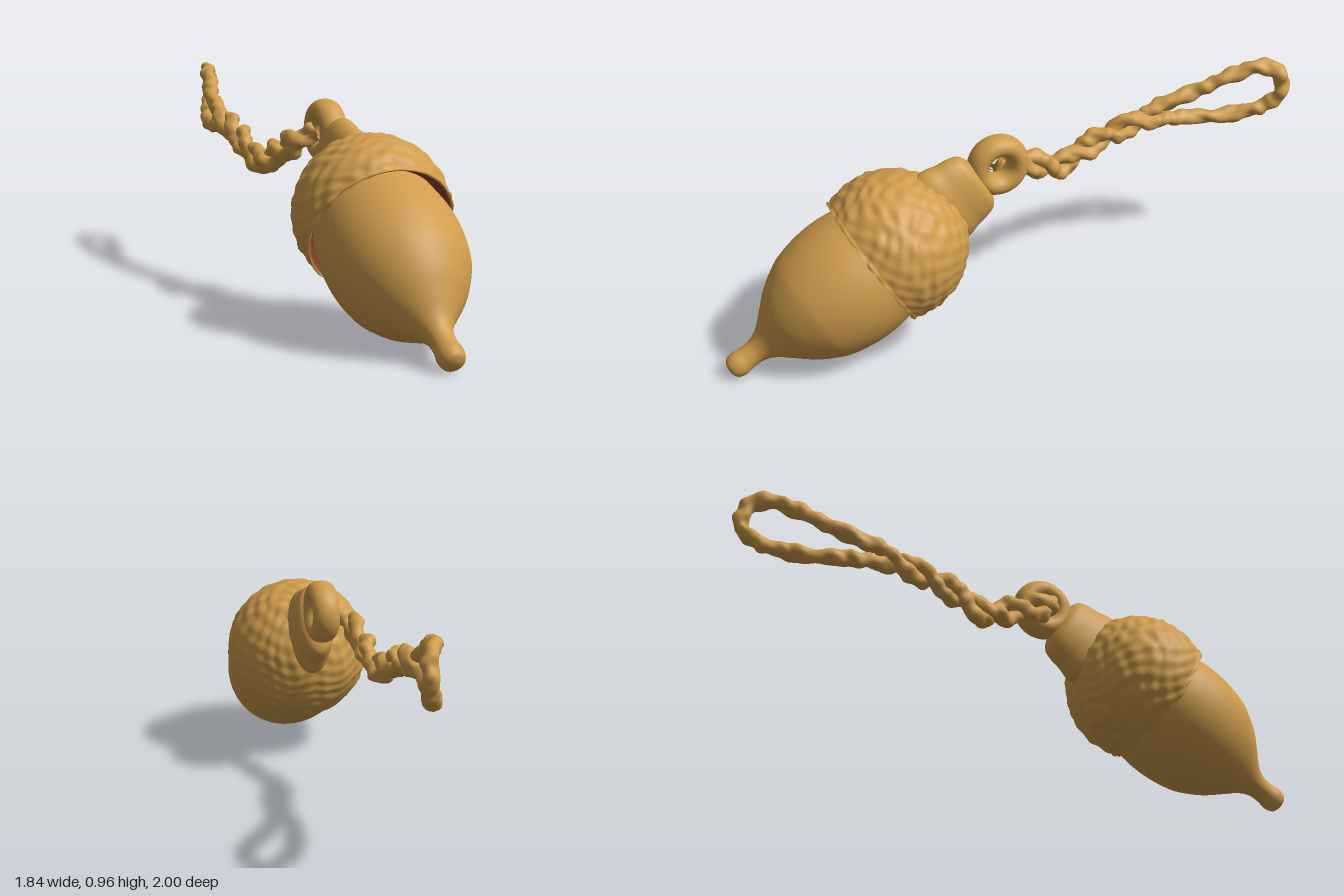
import * as THREE from 'three';
import { mergeVertices } from 'three/addons/utils/BufferGeometryUtils.js';

const V = (x, y, z) => new THREE.Vector3(x, y, z);

// Smooth curve through a few (radius, height) points, turned into a lathe
function turned(points, segments = 64, steps = 60) {
  const curve = new THREE.SplineCurve(points.map(([r, t]) => new THREE.Vector2(r, t)));
  const profile = curve.getPoints(steps).map((p) => new THREE.Vector2(Math.max(0, p.x), p.y));
  return new THREE.LatheGeometry(profile, segments);
}

// Irregular lumps as a function of position
function lump(p, k) {
  const wx = p.x + 0.02 * Math.sin(23 * p.y + 1), wy = p.y + 0.02 * Math.sin(27 * p.z + 2), wz = p.z + 0.02 * Math.sin(21 * p.x);
  return Math.sin(k * wx) * Math.sin(k * 1.1 * wy + 1) + Math.sin(k * 0.9 * wy + k * 0.5 * wx) * Math.sin(k * wz + 2);
}

// Push vertices along their normals by the lump rule, then smooth the result
function roughen(geometry, k, amount) {
  const pos = geometry.attributes.position, nor = geometry.attributes.normal;
  const p = V(0, 0, 0), n = V(0, 0, 0);
  for (let i = 0; i < pos.count; i++) {
    p.fromBufferAttribute(pos, i);
    n.fromBufferAttribute(nor, i);
    p.addScaledVector(n, amount * lump(p, k));
    pos.setXYZ(i, p.x, p.y, p.z);
  }
  geometry.deleteAttribute('uv');
  geometry.deleteAttribute('normal');
  const merged = mergeVertices(geometry, 1e-5);
  merged.computeVertexNormals();
  return merged;
}

export function createModel() {
  const model = new THREE.Group();
  model.name = 'acornCharm';
  const tan = new THREE.MeshStandardMaterial({ color: 0xcf9c4c });
  tan.name = 'warm tan';
  const brown = new THREE.MeshStandardMaterial({ color: 0x8a4526, side: THREE.DoubleSide });
  brown.name = 'red brown';

  const add = (parent, name, geometry, material) => {
    const mesh = new THREE.Mesh(geometry, material);
    mesh.name = name;
    parent.add(mesh);
    return mesh;
  };

  // Tilted acorn frame: local y runs from the ring to the tip
  const axis = V(0.572, -0.504, 0.646).normalize();
  const side = axis.clone().cross(V(0, 1, 0)).normalize().negate();
  const across = axis.clone().cross(side).normalize();
  const acorn = new THREE.Group();
  acorn.name = 'acorn';
  acorn.quaternion.setFromRotationMatrix(new THREE.Matrix4().makeBasis(across, axis, across.clone().cross(axis)));
  acorn.position.set(0.4, 0.46, 0.42);
  model.add(acorn);

  // Nut with its small stalk-like tip
  const nut = add(acorn, 'nut', turned([
    [0.262, 0.03], [0.272, 0.1], [0.284, 0.2], [0.281, 0.3], [0.262, 0.4], [0.238, 0.46], [0.19, 0.54], [0.13, 0.61],
    [0.078, 0.67], [0.054, 0.72], [0.05, 0.77], [0.055, 0.815], [0.045, 0.85], [0.02, 0.864], [0, 0.866],
  ], 72, 90), tan);
  nut.position.x = -0.008;

  // Rough cap: round shell ending in a thick rim
  const shell = [];
  for (let i = 0; i <= 70; i++) {
    const a = -Math.PI / 2 + (i / 70) * (Math.PI / 2 + 0.33);
    shell.push(new THREE.Vector2(Math.max(0, 0.32 * Math.cos(a)), 0.32 * Math.sin(a)));
  }
  shell.push(new THREE.Vector2(0.308, 0.113), new THREE.Vector2(0.302, 0.115), new THREE.Vector2(0.297, 0.109));
  add(acorn, 'cap', roughen(new THREE.LatheGeometry(shell, 150), 72, 0.0036), tan);

  // Dark recess between cap and nut
  add(acorn, 'capLining', new THREE.LatheGeometry([[0.298, 0.108], [0.288, 0.07], [0.25, 0.05]]
    .map(([r, t]) => new THREE.Vector2(r, t)).reverse(), 72), brown);

  // Flattened neck and hanging ring
  const neck = add(acorn, 'neck', turned([
    [0, -0.47], [0.045, -0.465], [0.076, -0.44], [0.087, -0.395], [0.092, -0.34], [0.1, -0.29], [0.1, -0.24],
  ], 48, 40), tan);
  neck.scale.x = 1.95;
  const ring = add(acorn, 'ring', new THREE.TorusGeometry(0.09, 0.046, 24, 56), tan);
  ring.position.y = -0.555;
  ring.scale.z = 1.3;

  // Cord: two twisted strands leaving the ring, opening into an end loop
  const trunk = new THREE.CatmullRomCurve3([
    V(0.05, 0.74, 0.1), V(-0.02, 0.7, 0.12), V(-0.1, 0.66, 0.055), V(-0.19, 0.61, -0.03), V(-0.28, 0.575, -0.11),
    V(-0.38, 0.625, -0.2), V(-0.5, 0.685, -0.33), V(-0.62, 0.715, -0.455),
  ]);
  const sideways = V(0.7, 0, -0.7);
  const strand = (sign) => Array.from({ length: 29 }, (_, i) => {
    const f = i / 28, a = f * Math.PI * 6, w = 0.034 * sign * Math.min(1, f * 5 + 0.3);
    return trunk.getPointAt(f).addScaledVector(V(0, 1, 0), w * Math.cos(a)).addScaledVector(sideways, 0.45 * w * Math.sin(a));
  });
  const loop = [
    V(-0.69, 0.785, -0.55), V(-0.76, 0.84, -0.68), V(-0.845, 0.908, -0.86), V(-0.877, 0.875, -0.94),
    V(-0.882, 0.79, -0.962), V(-0.862, 0.71, -0.89), V(-0.8, 0.672, -0.75), V(-0.7, 0.672, -0.56),
  ];
  const path = new THREE.CatmullRomCurve3([...strand(1), ...loop, ...strand(-1).reverse()]);
  add(model, 'cord', roughen(new THREE.TubeGeometry(path, 620, 0.033, 16, false), 62, 0.006), tan);

  return model;
}
